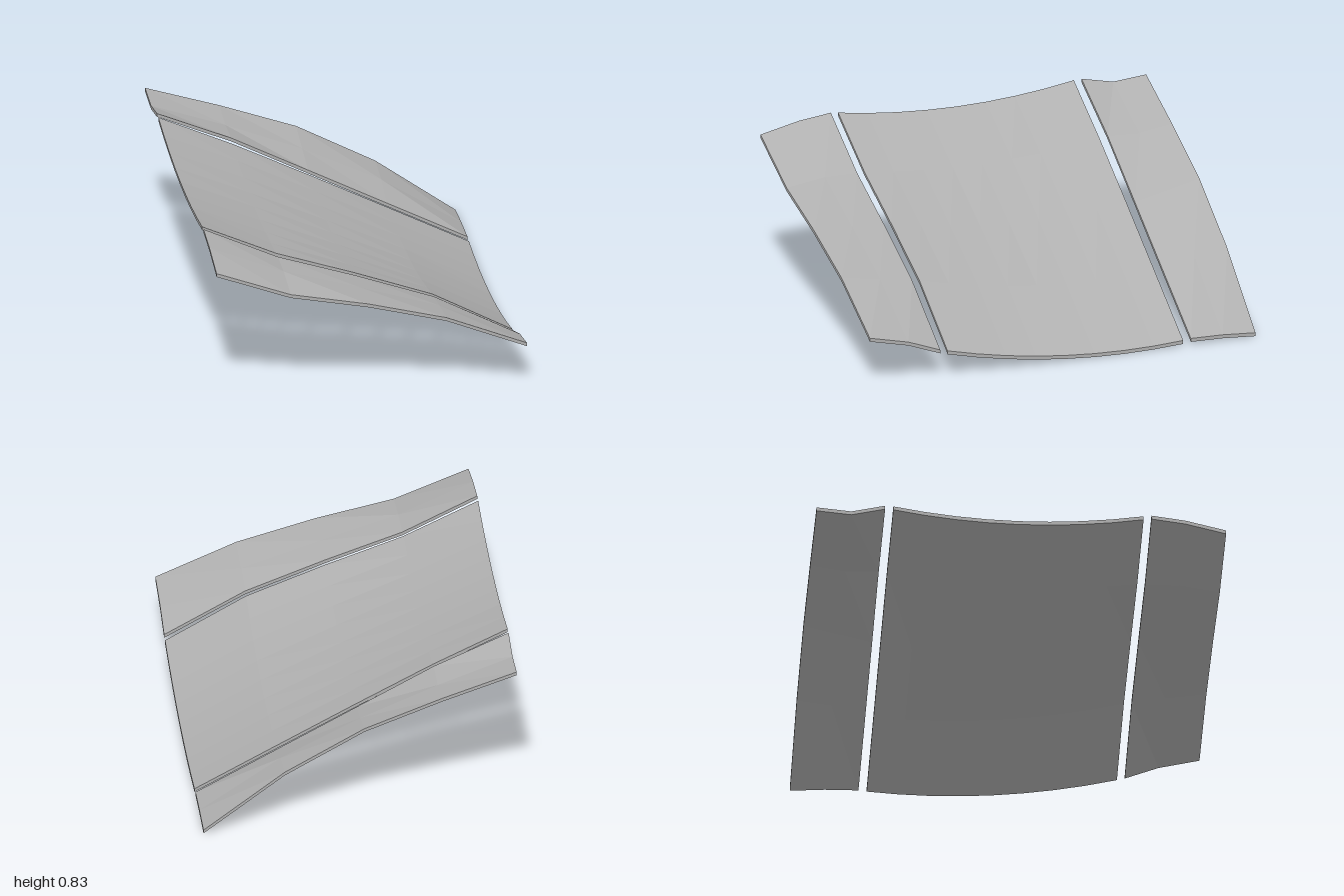
import * as THREE from 'three';

const XS = [-0.767, -0.4, -0.02, 0.37, 0.767]; // shared column positions
const THICK = 0.018;

// Closed slab from rows of top heights; each row is { z, h: heights at XS }
function slab(rows) {
  const cols = XS.length, n = rows.length * cols, pos = [], idx = [];
  for (const drop of [0, THICK])
    for (const { z, h } of rows) XS.forEach((x, i) => pos.push(x, h[i] - drop, z));
  const quad = (a, b, c, d) => idx.push(a, b, c, a, c, d);

  // top and underside
  for (let j = 0; j < rows.length - 1; j++) {
    for (let i = 0; i < cols - 1; i++) {
      const a = j * cols + i, b = a + cols, c = b + 1, d = a + 1;
      quad(a, b, c, d);
      idx.push(a + n, c + n, b + n, a + n, d + n, c + n);
    }
  }
  // rim walls, walked around the outline
  const rim = [];
  const last = rows.length - 1;
  for (let i = 0; i < cols - 1; i++) rim.push(last * cols + i);
  for (let j = last; j > 0; j--) rim.push(j * cols + cols - 1);
  for (let i = cols - 1; i > 0; i--) rim.push(i);
  for (let j = 0; j < last; j++) rim.push(j * cols);
  rim.forEach((a, k) => {
    const b = rim[(k + 1) % rim.length];
    quad(a, a + n, b + n, b);
  });

  const g = new THREE.BufferGeometry();
  g.setAttribute('position', new THREE.Float32BufferAttribute(pos, 3));
  g.setIndex(idx);
  const flat = g.toNonIndexed();
  flat.computeVertexNormals();
  return flat;
}

// Main panel: each column is a parabola through back, middle and front heights
function mainRows() {
  const z0 = -0.625, z1 = 0, z2 = 0.597, steps = 8;
  const back = [0.83, 0.655, 0.455, 0.245, 0.03];
  const mid = [0.775, 0.61, 0.438, 0.255, 0.035];
  const front = [0.825, 0.65, 0.515, 0.365, 0.14];
  return Array.from({ length: steps + 1 }, (_, j) => {
    const z = z0 + (z2 - z0) * j / steps;
    const w0 = (z - z1) * (z - z2) / ((z0 - z1) * (z0 - z2));
    const w1 = (z - z0) * (z - z2) / ((z1 - z0) * (z1 - z2));
    const w2 = (z - z0) * (z - z1) / ((z2 - z0) * (z2 - z1));
    return { z, h: XS.map((_, i) => back[i] * w0 + mid[i] * w1 + front[i] * w2) };
  });
}

export function createModel() {
  const group = new THREE.Group();
  group.name = 'curvedPanels';
  const grey = new THREE.MeshStandardMaterial({ color: 0xb0b0b0, flatShading: true });
  grey.name = 'grey';

  const add = (name, rows) => {
    const mesh = new THREE.Mesh(slab(rows), grey);
    mesh.name = name;
    group.add(mesh);
  };

  add('backPanel', [
    { z: -1, h: [0.81, 0.685, 0.54, 0.32, 0.02] },
    { z: -0.83, h: [0.795, 0.66, 0.5, 0.3, 0.032] },
    { z: -0.665, h: [0.832, 0.668, 0.462, 0.25, 0.035] },
  ]);
  add('mainPanel', mainRows());
  add('frontPanel', [
    { z: 0.635, h: [0.83, 0.65, 0.518, 0.37, 0.15] },
    { z: 0.8, h: [0.81, 0.65, 0.53, 0.4, 0.213] },
    { z: 1, h: [0.765, 0.62, 0.538, 0.43, 0.26] },
  ]);
  return group;
}
